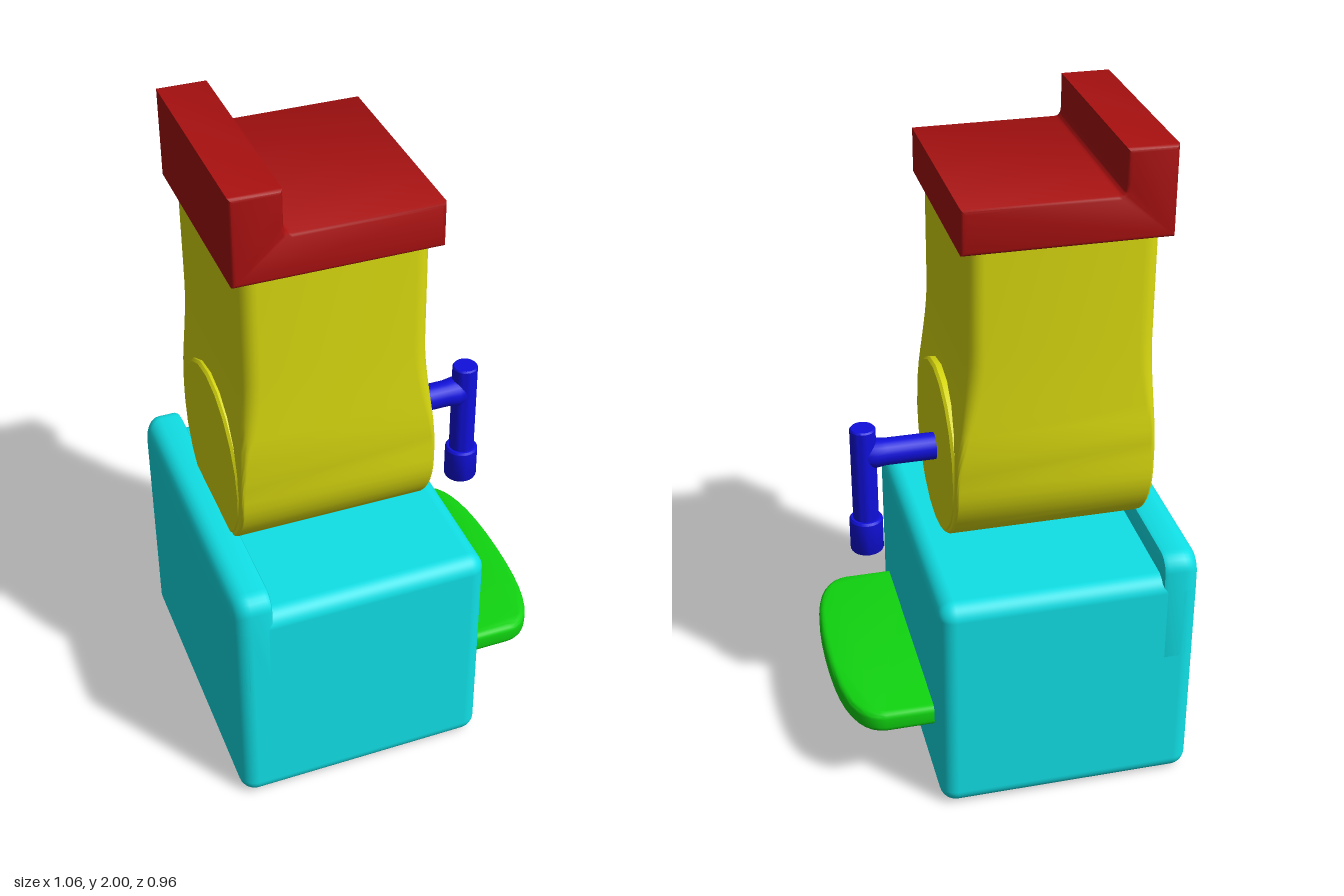
import * as THREE from 'three';
import { RoundedBoxGeometry } from 'three/addons/geometries/RoundedBoxGeometry.js';
import { toCreasedNormals } from 'three/addons/utils/BufferGeometryUtils.js';

const paint = (color) => new THREE.MeshStandardMaterial({ color });
const CYAN = paint(0x10e0e6), YELLOW = paint(0xdada10), RED = paint(0xa81010);
const BLUE = paint(0x1010dc), GREEN = paint(0x10d410);

function part(name, geometry, material, x = 0, y = 0, z = 0) {
  const mesh = new THREE.Mesh(geometry, material);
  mesh.name = name;
  mesh.position.set(x, y, z);
  return mesh;
}

// Stack of rounded rectangles along y; each section is { y, cx, hx, hz, r }
function loft(sections, crease = 0.6) {
  const steps = 6, n = 4 * (steps + 1);
  const pos = [], idx = [];
  for (const { y, cx = 0, hx, hz, r } of sections) {
    const rr = Math.min(r, hx, hz);
    for (let c = 0; c < 4; c++) {
      const sx = c === 0 || c === 3 ? 1 : -1, sz = c < 2 ? 1 : -1;
      for (let k = 0; k <= steps; k++) {
        const a = (c + k / steps) * Math.PI / 2;
        pos.push(cx + sx * (hx - rr) + rr * Math.cos(a), y, sz * (hz - rr) + rr * Math.sin(a));
      }
    }
  }
  const last = sections.length - 1;
  for (let s = 0; s < last; s++) {
    for (let i = 0; i < n; i++) {
      const j = (i + 1) % n, a = s * n + i, b = s * n + j;
      idx.push(a, a + n, b, b, a + n, b + n);
    }
  }
  const bottom = pos.length / 3, top = bottom + 1;
  pos.push(sections[0].cx || 0, sections[0].y, 0, sections[last].cx || 0, sections[last].y, 0);
  for (let i = 0; i < n; i++) {
    const j = (i + 1) % n;
    idx.push(bottom, i, j, top, last * n + j, last * n + i);
  }
  const g = new THREE.BufferGeometry();
  g.setAttribute('position', new THREE.Float32BufferAttribute(pos, 3));
  g.setIndex(idx);
  return toCreasedNormals(g, crease);
}

// Raised lip along the -x edge of the base, rounded on its outer side
function lipGeometry() {
  const sections = [];
  const add = (y, inset) => sections.push({ y, cx: 0.6, hx: 0.2 - inset, hz: 0.48 - inset, r: 0.05 });
  add(0.415, 0.012);
  add(0.419, 0.004);
  add(0.43, 0);
  for (let i = 0; i <= 6; i++) {
    const a = (i / 6) * Math.PI / 2;
    add(0.48 + 0.05 * Math.sin(a), 0.05 * (1 - Math.cos(a)));
  }
  return loft(sections).rotateZ(Math.PI / 2);
}

// Upright housing: boxy above, rolling under around the drum and flaring to its width
function housingGeometry() {
  const sections = [];
  const add = (y, hz) => {
    const t = THREE.MathUtils.smoothstep(y, 1.0, 1.42);
    sections.push({
      y, hz,
      cx: THREE.MathUtils.lerp(-0.14, -0.147, t),
      hx: THREE.MathUtils.lerp(0.296, 0.271, t),
      r: THREE.MathUtils.lerp(0.012, 0.05, t),
    });
  };
  for (let i = 0; i <= 12; i++) {
    const a = 0.06 + (i / 12) * (Math.PI / 2 - 0.06);
    add(0.995 - 0.265 * Math.cos(a), 0.285 * Math.sin(a));
  }
  for (let i = 1; i <= 10; i++) {
    const y = 0.995 + i * 0.045;
    add(y, 0.285 + 0.01 * THREE.MathUtils.smoothstep(y, 0.995, 1.15));
  }
  add(1.75, 0.295);
  return loft(sections);
}

// Cap with a step along its -x edge, extruded across z
function capGeometry() {
  const b = 0.012;
  const s = new THREE.Shape();
  s.moveTo(-0.443 + b, 1.74 + b);
  s.lineTo(0.145 - b, 1.74 + b);
  s.lineTo(0.145 - b, 1.872 - b);
  s.lineTo(-0.28, 1.872 - b);
  s.quadraticCurveTo(-0.3 - b, 1.872 - b, -0.3 - b, 1.9);
  s.lineTo(-0.3 - b, 2 - b);
  s.lineTo(-0.443 + b, 2 - b);
  s.closePath();
  const depth = 0.65 - 2 * b;
  const g = new THREE.ExtrudeGeometry(s, {
    depth, bevelEnabled: true, bevelThickness: b, bevelSize: b, bevelSegments: 3, curveSegments: 6,
  });
  return toCreasedNormals(g.translate(0, 0, -depth / 2), 0.8);
}

// Flat tray with a bowed outer edge
function trayGeometry() {
  const b = 0.02;
  const s = new THREE.Shape();
  s.moveTo(0.2, -0.355);
  s.lineTo(0.395, -0.355);
  s.bezierCurveTo(0.455, -0.35, 0.505, -0.28, 0.505, 0);
  s.bezierCurveTo(0.505, 0.28, 0.455, 0.35, 0.395, 0.355);
  s.lineTo(0.2, 0.355);
  s.closePath();
  const g = new THREE.ExtrudeGeometry(s, {
    depth: 0.03, bevelEnabled: true, bevelThickness: b, bevelSize: b, bevelSegments: 4, curveSegments: 10,
  });
  return toCreasedNormals(g.rotateX(-Math.PI / 2).translate(0, 0.255, 0), 0.6);
}

// Turned solid from [radius, height] pairs
const turned = (pts, sides = 24) =>
  toCreasedNormals(new THREE.LatheGeometry(pts.map(([r, h]) => new THREE.Vector2(r, h)), sides), 0.6);

export function createModel() {
  const model = new THREE.Group();
  model.name = 'crankMachine';

  // Base block and its lip
  const base = new THREE.Group();
  base.name = 'base';
  base.add(part('baseBlock', new RoundedBoxGeometry(0.78, 0.73, 0.96, 5, 0.05), CYAN, -0.14, 0.365, 0));
  base.add(part('baseLip', lipGeometry(), CYAN));
  model.add(base);

  // Housing with the drum running through it
  model.add(part('housing', housingGeometry(), YELLOW));
  const drum = turned([[0, -0.3], [0.258, -0.3], [0.265, -0.292], [0.265, 0.292], [0.258, 0.3], [0, 0.3]], 20);
  model.add(part('drum', drum.rotateZ(-Math.PI / 2), YELLOW, -0.14, 0.995, 0));

  // Stepped cap
  model.add(part('cap', capGeometry(), RED));

  // Crank: axle, arm and grip
  const crank = new THREE.Group();
  crank.name = 'crank';
  const axle = turned([[0, 0], [0.041, 0], [0.041, 0.17], [0.046, 0.205], [0.036, 0.235], [0, 0.235]]);
  crank.add(part('crankAxle', axle.rotateZ(-Math.PI / 2), BLUE, 0.14, 0.99, 0));
  crank.add(part('crankArm', turned([[0, 0.7], [0.039, 0.7], [0.039, 1.075], [0.035, 1.08], [0, 1.08]]), BLUE, 0.375));
  crank.add(part('crankGrip', turned([[0, 0.66], [0.049, 0.66], [0.051, 0.664], [0.051, 0.765], [0.046, 0.772], [0, 0.772]]), BLUE, 0.375));
  model.add(crank);

  // Tray low on the +x side
  model.add(part('tray', trayGeometry(), GREEN));

  return model;
}
